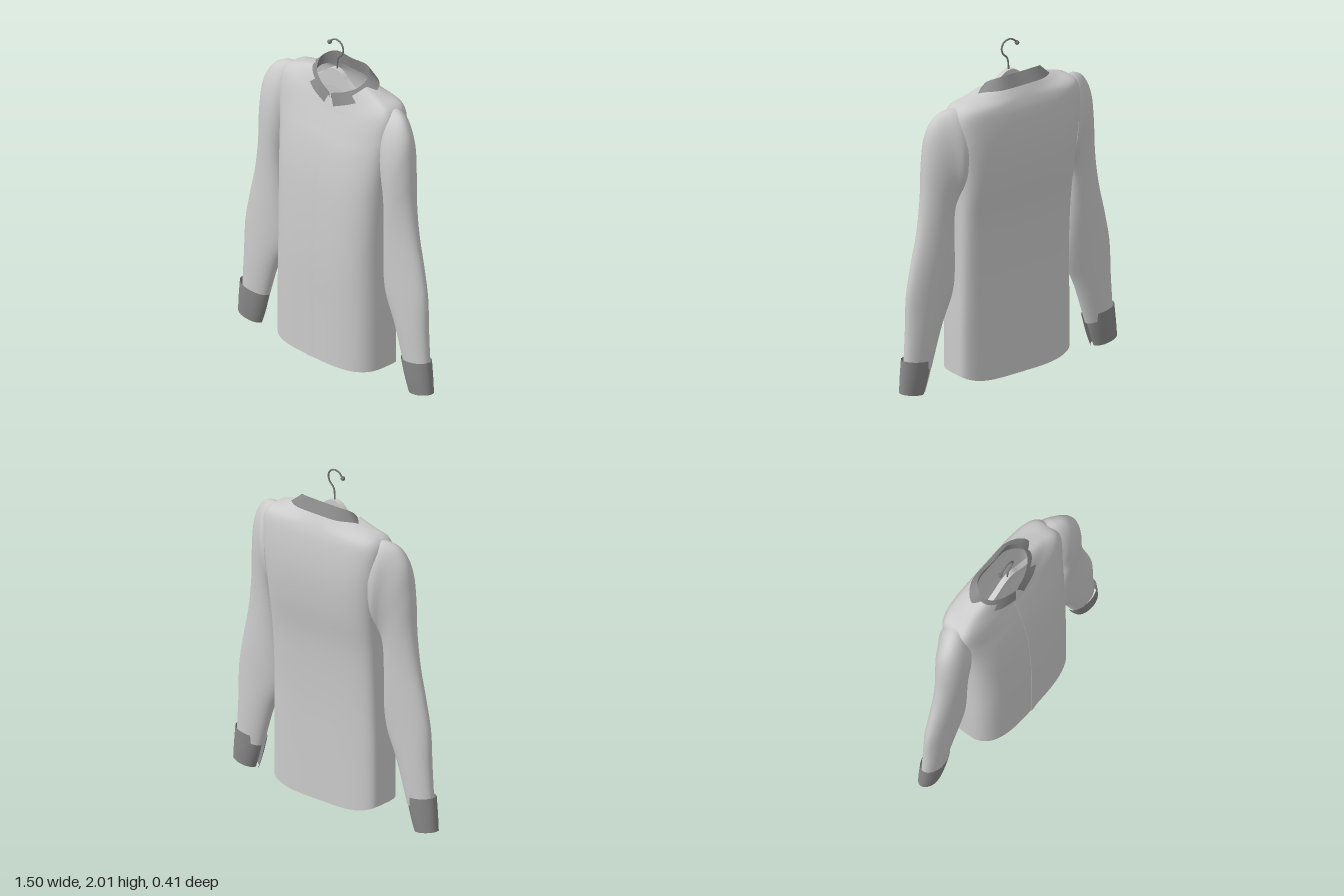
import * as THREE from 'three';

const V = (x, y, z) => new THREE.Vector3(x, y, z);
const cloth = new THREE.MeshStandardMaterial({ color: 0xcccccc, side: THREE.DoubleSide });
const trim = new THREE.MeshStandardMaterial({ color: 0x888888, side: THREE.DoubleSide });
const metal = new THREE.MeshStandardMaterial({ color: 0x777777 });
const wood = new THREE.MeshStandardMaterial({ color: 0xcccccc });

const spow = (v, e) => Math.sign(v) * Math.abs(v) ** e;

function add(group, name, geometry, material) {
  const mesh = new THREE.Mesh(geometry, material);
  mesh.name = name;
  group.add(mesh);
  return mesh;
}

// Smooth skin through rows of points; rows of equal length, optionally closed around.
function loft(rows, closed, steps, smooth = true) {
  const n = rows[0].length;
  const columns = rows[0].map((_, j) => {
    const pts = rows.map(r => r[j]);
    return smooth ? new THREE.CatmullRomCurve3(pts, false, 'centripetal').getPoints(steps) : pts;
  });
  const m = columns[0].length, pos = [], idx = [];
  for (let i = 0; i < m; i++) for (const c of columns) pos.push(...c[i].toArray());
  for (let i = 0; i < m - 1; i++) {
    for (let j = 0; j < (closed ? n : n - 1); j++) {
      const k = (j + 1) % n;
      const a = i * n + j, b = i * n + k, c = a + n, d = b + n;
      idx.push(a, c, b, b, c, d);
    }
  }
  const g = new THREE.BufferGeometry();
  g.setAttribute('position', new THREE.Float32BufferAttribute(pos, 3));
  g.setIndex(idx);
  g.computeVertexNormals();
  return g;
}

// Torso rings: half width, front z, back z, front y, side y, back y
const TORSO = [
  [0.38, 0.20, -0.125, 0.08, 0.09, 0.04],
  [0.38, 0.20, -0.125, 0.40, 0.40, 0.40],
  [0.375, 0.20, -0.13, 0.70, 0.70, 0.70],
  [0.38, 0.188, -0.15, 1.00, 1.00, 1.00],
  [0.39, 0.168, -0.185, 1.23, 1.23, 1.23],
  [0.405, 0.138, -0.20, 1.40, 1.40, 1.40],
  [0.42, 0.112, -0.198, 1.49, 1.53, 1.53],
  [0.42, 0.09, -0.185, 1.56, 1.66, 1.64],
  [0.39, 0.08, -0.175, 1.59, 1.705, 1.68],
  [0.30, 0.068, -0.155, 1.63, 1.74, 1.73],
  [0.20, 0.055, -0.13, 1.67, 1.77, 1.775],
];

function torsoRow([hw, zf, zb, yf, ys, yb]) {
  const row = [], n = 72, zm = -0.02;
  for (let j = 0; j < n; j++) {
    const a = (j / n) * Math.PI * 2, s = Math.sin(a);
    const front = s > 0;
    const round = hw < 0.35 ? 0.85 : front ? 0.62 : 0.5;
    const z = zm + Math.abs(spow(s, round)) * ((front ? zf : zb) - zm);
    row.push(V(0.01 + hw * spow(Math.cos(a), round), ys + ((front ? yf : yb) - ys) * s * s, z));
  }
  return row;
}

// Sleeve rings: outer x, y, inner x, y, front z, back z
const SLEEVE = [
  [0.39, 1.70, 0.375, 1.20, 0.06, -0.15],
  [0.44, 1.695, 0.385, 1.17, 0.08, -0.145],
  [0.50, 1.665, 0.395, 1.11, 0.09, -0.12],
  [0.555, 1.58, 0.395, 1.05, 0.092, -0.10],
  [0.582, 1.42, 0.39, 0.98, 0.088, -0.085],
  [0.595, 1.20, 0.385, 0.88, 0.08, -0.075],
  [0.622, 1.00, 0.38, 0.76, 0.075, -0.07],
  [0.668, 0.80, 0.38, 0.66, 0.072, -0.065],
  [0.70, 0.63, 0.395, 0.57, 0.07, -0.06],
  [0.708, 0.42, 0.465, 0.41, 0.066, -0.055],
  [0.722, 0.20, 0.54, 0.17, 0.055, -0.045],
];
const CUFF = [
  [0.73, 0.25, 0.54, 0.22, 0.068, -0.05],
  [0.74, 0.15, 0.565, 0.12, 0.064, -0.048],
  [0.748, 0.055, 0.595, 0.025, 0.056, -0.042],
];

// The right arm hangs slightly lower than the left.
function armPoint([ox, oy, ix, iy, zf, zb], a, scale, side) {
  const c = Math.cos(a) * scale, s = Math.sin(a) * scale;
  const x = (ox + ix) / 2 + c * (ox - ix) / 2;
  const y = (oy + iy) / 2 + c * (oy - iy) / 2;
  const drop = side < 0 ? 0.027 * (1 - y / 1.7) : 0;
  return V(side * x + 0.012 * y / 1.7, y - drop, (zf + zb) / 2 + s * (zf - zb) / 2);
}

function makeArm(side) {
  const arm = new THREE.Group();
  arm.name = side > 0 ? 'leftArm' : 'rightArm';
  const ring = r => Array.from({ length: 40 }, (_, j) => armPoint(r, (j / 40) * Math.PI * 2, 1, side));
  add(arm, 'sleeve', loft(SLEEVE.map(ring), true, 50), cloth);
  // Cuff wraps round and ends in a loose flap on the inner side
  const wrap = r => Array.from({ length: 45 }, (_, j) => {
    const t = j / 44;
    return armPoint(r, Math.PI + t * Math.PI * 2, 1.02 + Math.max(0, t - 0.8) * 1.1, side);
  });
  add(arm, 'cuff', loft(CUFF.map(wrap), false, 8), trim);
  return arm;
}

// Mirror a half edge (back centre to front tip) into a full collar edge
function collarEdge(half, shift) {
  const pts = new THREE.CatmullRomCurve3(half.map(p => V(...p))).getPoints(24);
  const right = pts.slice(1).reverse().map(p => V(-p.x, p.y, p.z));
  return [...right, ...pts].map(p => p.add(V(shift, 0, 0)));
}

function makeCollar() {
  const collar = new THREE.Group();
  collar.name = 'collar';
  const base = collarEdge([[0, 1.765, -0.125], [0.12, 1.765, -0.115], [0.19, 1.745, -0.05],
    [0.175, 1.71, 0.01], [0.10, 1.68, 0.045], [0.005, 1.655, 0.06]], 0.01);
  const fold = collarEdge([[0, 1.84, -0.11], [0.13, 1.84, -0.108], [0.18, 1.81, -0.055],
    [0.165, 1.765, 0.0], [0.10, 1.725, 0.04], [0.005, 1.69, 0.062]], 0.01);
  const rim = collarEdge([[0, 1.775, -0.15], [0.15, 1.775, -0.142], [0.235, 1.765, -0.08],
    [0.235, 1.72, 0.0], [0.15, 1.675, 0.06], [0.035, 1.625, 0.08]], 0.015);
  add(collar, 'collarStand', loft([base, fold], false, 1, false), trim);
  add(collar, 'collarFall', loft([fold, rim], false, 1, false), trim);
  return collar;
}

function makeHanger() {
  const hanger = new THREE.Group();
  hanger.name = 'hanger';
  // Shoulder-shaped bar
  const s = new THREE.Shape();
  s.moveTo(-0.34, 1.63);
  s.quadraticCurveTo(-0.15, 1.72, -0.08, 1.775);
  s.quadraticCurveTo(0, 1.86, 0.08, 1.775);
  s.quadraticCurveTo(0.15, 1.72, 0.34, 1.63);
  s.lineTo(0.33, 1.60);
  s.quadraticCurveTo(0.12, 1.68, 0, 1.71);
  s.quadraticCurveTo(-0.12, 1.68, -0.33, 1.60);
  const bar = new THREE.ExtrudeGeometry(s, { depth: 0.03, bevelEnabled: false, curveSegments: 10 });
  bar.translate(0, 0, -0.015);
  add(hanger, 'hangerBar', bar, wood);
  // Wire hook with a rounded end
  const path = new THREE.CatmullRomCurve3([V(0.005, 1.72, 0), V(0.005, 1.86, 0), V(0.015, 1.89, 0),
    V(0.04, 1.915, 0), V(0.05, 1.95, 0), V(0.035, 1.982, 0), V(0, 1.995, 0),
    V(-0.032, 1.985, 0), V(-0.055, 1.96, 0)]);
  add(hanger, 'hook', new THREE.TubeGeometry(path, 60, 0.005, 8), metal);
  add(hanger, 'hookTip', new THREE.SphereGeometry(0.013, 14, 10), metal).position.set(-0.057, 1.96, 0);
  return hanger;
}

export function createModel() {
  const shirt = new THREE.Group();
  shirt.name = 'shirtOnHanger';
  add(shirt, 'torso', loft(TORSO.map(torsoRow), true, 70), cloth);
  // Overlapping front edge, raised on the right and sinking into the left panel
  const placket = TORSO.map(([, zf, , yf]) => [V(-0.03, yf, zf - 0.004), V(-0.03, yf, zf + 0.005), V(0.04, yf, zf - 0.002)]);
  add(shirt, 'placket', loft(placket, false, 50), cloth);
  shirt.add(makeArm(1), makeArm(-1), makeCollar(), makeHanger());
  return shirt;
}
